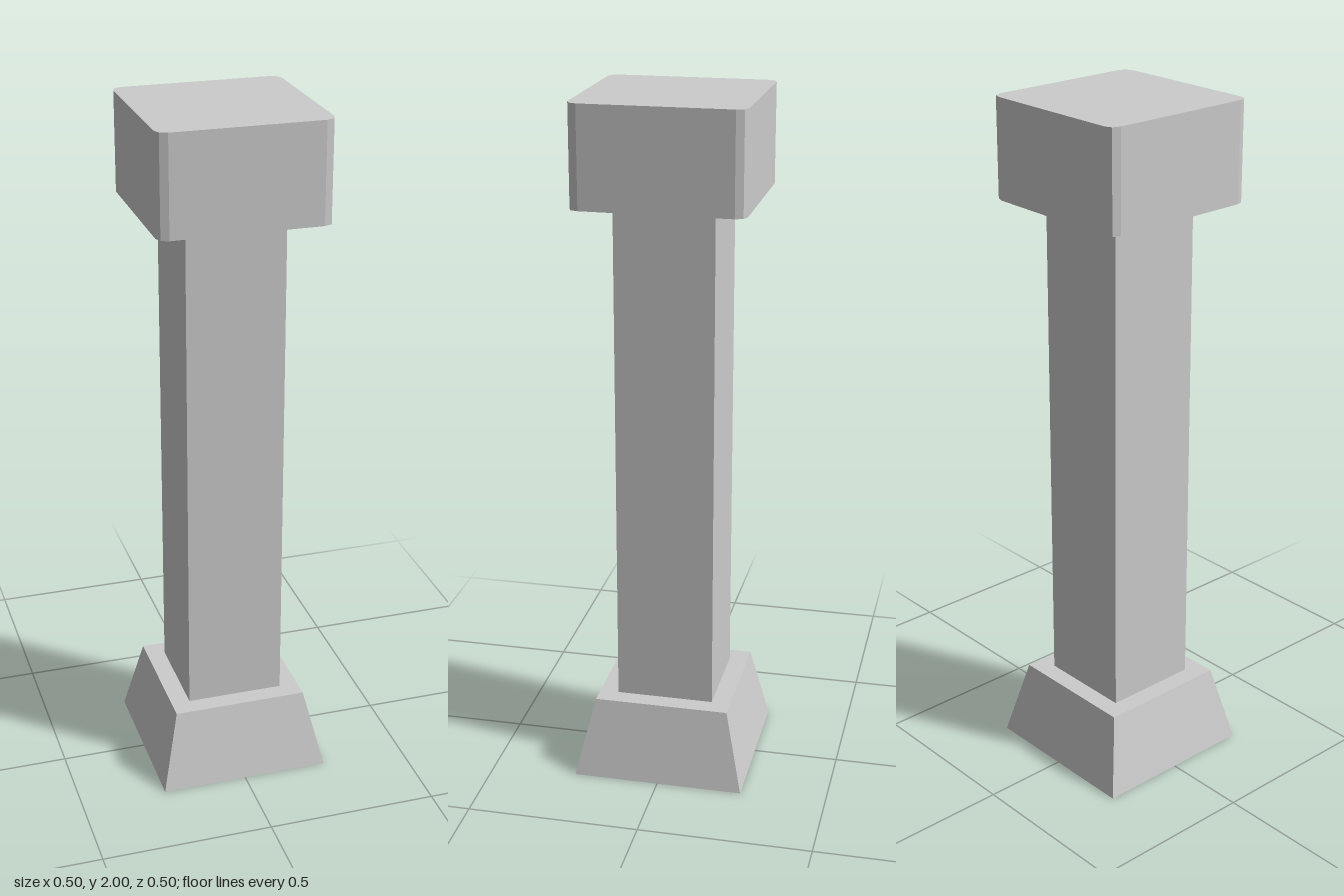
import * as THREE from 'three';

export function createModel() {
  const group = new THREE.Group();
  const material = new THREE.MeshStandardMaterial({ color: 0xcccccc, flatShading: true });

  const add = (name, geometry, y) => {
    const mesh = new THREE.Mesh(geometry, material);
    mesh.name = name;
    mesh.position.y = y;
    group.add(mesh);
  };

  // Plinth: a box whose top is drawn in
  const baseHeight = 0.232, baseBottom = 0.25, baseTop = 0.197;
  const plinth = new THREE.BoxGeometry(baseBottom * 2, baseHeight, baseBottom * 2);
  const pos = plinth.attributes.position;
  for (let i = 0; i < pos.count; i++) {
    if (pos.getY(i) > 0) {
      pos.setX(i, Math.sign(pos.getX(i)) * baseTop);
      pos.setZ(i, Math.sign(pos.getZ(i)) * baseTop);
    }
  }
  plinth.computeVertexNormals();
  add('plinth', plinth, baseHeight / 2);

  // Square shaft
  const capBottom = 1.715;
  const shaftHeight = capBottom - baseHeight;
  add('shaft', new THREE.BoxGeometry(0.284, shaftHeight, 0.284), baseHeight + shaftHeight / 2);

  // Capital: a square block with two-facet rounded corners
  const corner = [[0.242, 0.212], [0.234, 0.234], [0.212, 0.242]];
  const outline = [];
  for (let k = 0; k < 4; k++) {
    for (const [x, y] of corner) {
      outline.push(new THREE.Vector2(x, y).rotateAround(new THREE.Vector2(), k * Math.PI / 2));
    }
  }
  const capital = new THREE.ExtrudeGeometry(new THREE.Shape(outline), {
    depth: 2 - capBottom,
    bevelEnabled: false,
  });
  capital.rotateX(-Math.PI / 2);
  add('capital', capital, capBottom);

  return group;
}
